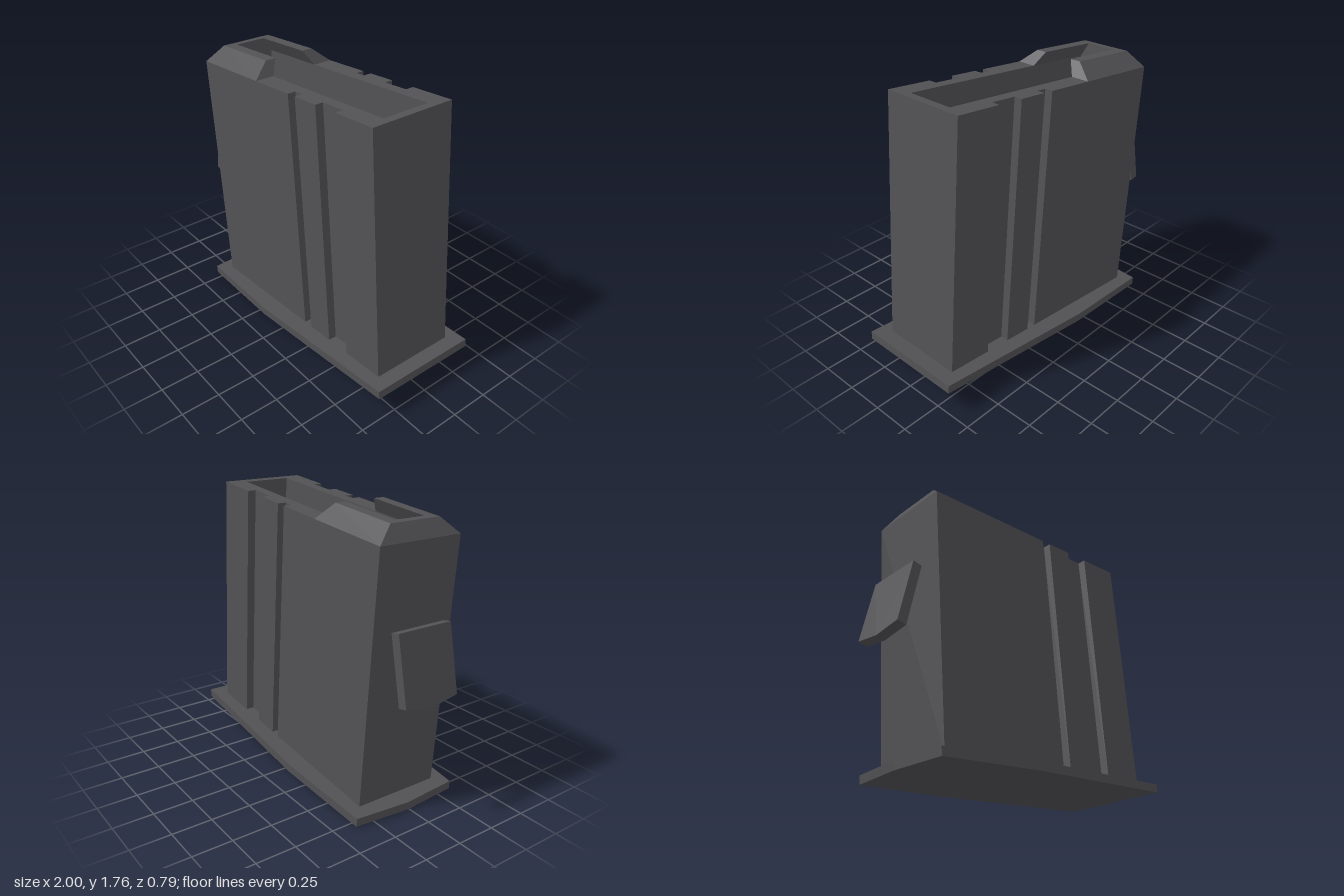
import * as THREE from 'three';

const metal = new THREE.MeshStandardMaterial({ color: 0x525154, flatShading: true });
metal.name = 'darkMetal';

function toShape(points) {
  return new THREE.Shape(points.map(([x, y]) => new THREE.Vector2(x, y)));
}

// Extrude a plan outline (length, width) upwards from y0 to y1
function slab(shape, y0, y1) {
  const g = new THREE.ExtrudeGeometry(shape, { depth: y1 - y0, bevelEnabled: false });
  g.rotateX(-Math.PI / 2);
  g.translate(0, y0, 0);
  return g;
}

function part(name, geometry) {
  const mesh = new THREE.Mesh(geometry, metal);
  mesh.name = name;
  return mesh;
}

// Mirror one side of an outline across the centre line
function mirrored(side) {
  return [...side, ...side.slice().reverse().map(([x, z]) => [x, -z])];
}

// U-shaped lips: a lower outline lofted to a smaller upper one, with a flat top
function lipsGeometry(y0, y1) {
  const lower = mirrored([[0.225, 0.155], [0.698, 0.155], [0.698, 0.278], [0.116, 0.278]]);
  const upper = mirrored([[0.225, 0.1], [0.655, 0.1], [0.655, 0.17], [0.178, 0.17]]);
  const n = lower.length;
  const pos = [];
  const lo = (i) => [lower[i % n][0], y0, lower[i % n][1]];
  const up = (i) => [upper[i % n][0], y1, upper[i % n][1]];
  const quad = (a, b, c, d) => pos.push(...a, ...b, ...c, ...a, ...c, ...d);
  // sloping sides
  for (let i = 0; i < n; i++) quad(lo(i), up(i), up(i + 1), lo(i + 1));
  // flat top: front arm, closed end, back arm
  quad(up(0), up(3), up(2), up(1));
  quad(up(7), up(4), up(3), up(0));
  quad(up(6), up(5), up(4), up(7));
  const g = new THREE.BufferGeometry();
  g.setAttribute('position', new THREE.Float32BufferAttribute(pos, 3));
  g.computeVertexNormals();
  return g;
}

export function createModel() {
  const model = new THREE.Group();
  model.name = 'magazine';
  model.rotation.y = -0.01;

  // Tilted box assembly
  const box = new THREE.Group();
  box.name = 'tiltedBox';
  box.position.set(-0.832, 0, 0);
  box.rotation.z = 0.085;
  model.add(box);

  // Floor plate, wider in the middle and pointed at one end
  const plate = toShape([
    [1.832, 0.36], [0.7, 0.395], [0.03, 0.36], [0, 0],
    [0.03, -0.36], [0.7, -0.395], [1.832, -0.36],
  ]);
  box.add(part('floorPlate', slab(plate, 0, 0.053)));

  // Hollow body with two upright grooves on each side
  const w = 0.278, d = 0.225;
  const body = toShape(mirrored([
    [1.733, w], [1.44, w], [1.44, d], [1.27, d], [1.27, w],
    [1.084, w], [1.084, d], [1.019, d], [1.019, w], [0.116, w],
  ]));
  body.holes.push(toShape([[0.225, -0.155], [1.676, -0.155], [1.676, 0.155], [0.225, 0.155]]));
  box.add(part('body', slab(body, 0.05, 1.62)));

  // Feed lips
  box.add(part('feedLips', lipsGeometry(1.62, 1.711)));

  // Catch plate standing off the end
  const catchShape = toShape([[0, 0], [0.185, 0.03], [0.185, 0.443], [-0.185, 0.443], [-0.185, 0.03]]);
  const catchGeometry = new THREE.ExtrudeGeometry(catchShape, { depth: 0.06, bevelEnabled: false });
  catchGeometry.rotateY(-Math.PI / 2);
  const catchPlate = part('catchPlate', catchGeometry);
  catchPlate.position.set(-0.943, 0.718, -0.006);
  catchPlate.rotation.z = -0.193;
  model.add(catchPlate);

  return model;
}
